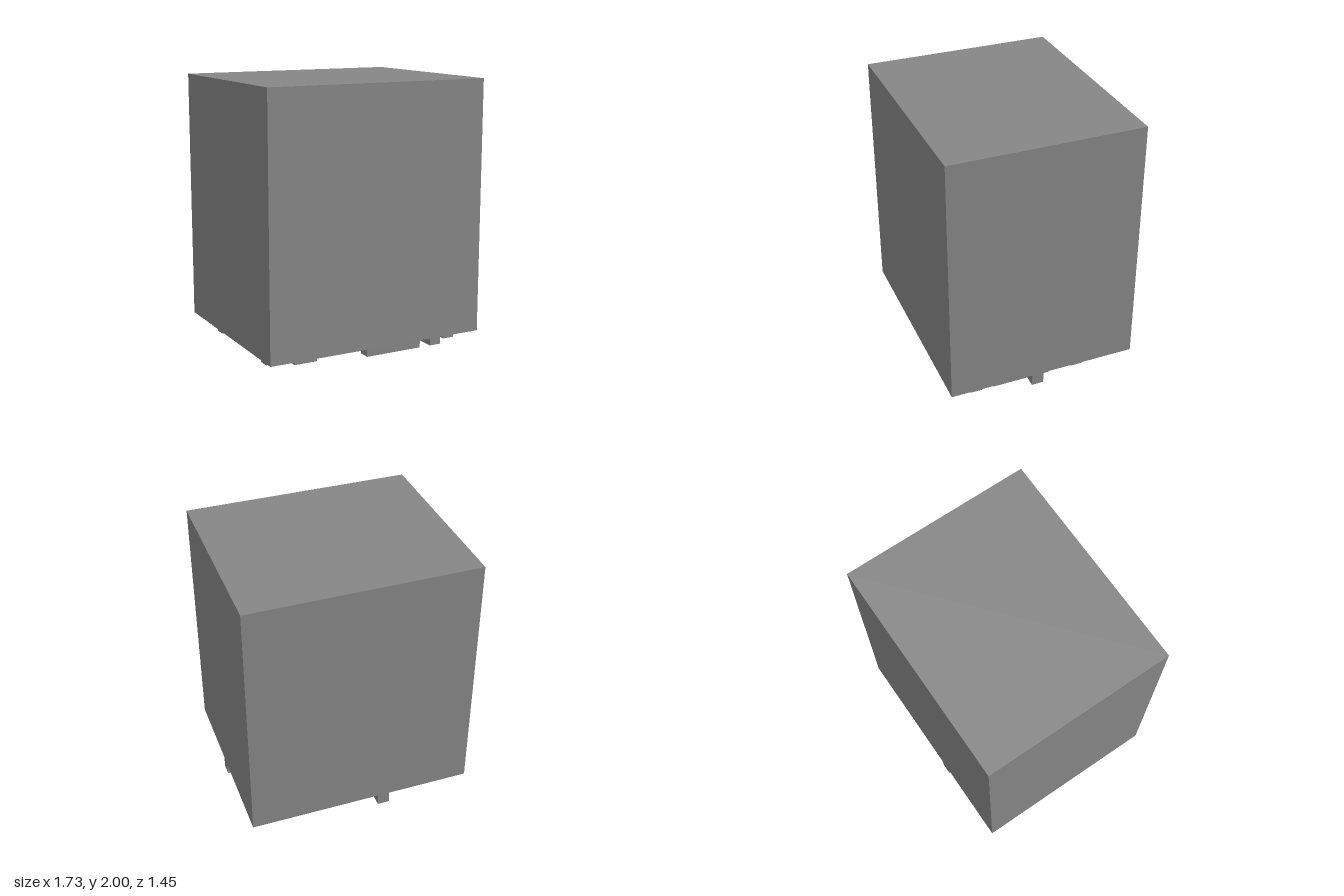
import * as THREE from 'three';
import { mergeGeometries } from 'three/addons/utils/BufferGeometryUtils.js';

const CELL = 1 / 11; // the block is 19 x 22 x 16 cells
const NX = 19, NY = 22, NZ = 16;

// Occupied cells of the lowest layer: one row per z cell from the back,
// each listing cell numbers counted from the +x side.
const FEET = [
  [11],
  [3, 4, 5, 7, 15, 16],
  [2, 3, 7, 10, 13, 14],
  [4, 8, 15, 17],
  [1, 5, 8, 15],
  [5, 11, 13, 15],
  [4, 11, 13, 16],
  [1, 5, 11, 14],
  [0, 4, 11],
  [1, 4, 12, 13],
  [1, 8, 10, 14],
  [1, 4, 5, 6, 7, 9, 16],
  [3, 9, 17],
  [1, 3, 14, 15],
  [3, 5, 6, 7, 8, 9],
];

export function createModel() {
  const model = new THREE.Group();
  model.name = 'block';
  const stone = new THREE.MeshStandardMaterial({ color: 0x868686 });
  stone.name = 'stone grey';

  // Solid body
  const body = new THREE.Mesh(
    new THREE.BoxGeometry(NX * CELL, (NY - 1) * CELL, NZ * CELL), stone);
  body.name = 'body';
  body.position.y = (NY + 1) * CELL / 2;
  model.add(body);

  // Small cubes under the body
  const cubes = [];
  FEET.forEach((row, j) => row.forEach((i) => {
    cubes.push(new THREE.BoxGeometry(CELL, CELL, CELL).translate(
      (NX / 2 - i - 0.5) * CELL, CELL / 2, (j + 0.5 - NZ / 2) * CELL));
  }));
  const feet = new THREE.Mesh(mergeGeometries(cubes), stone);
  feet.name = 'undersideCubes';
  model.add(feet);

  return model;
}
